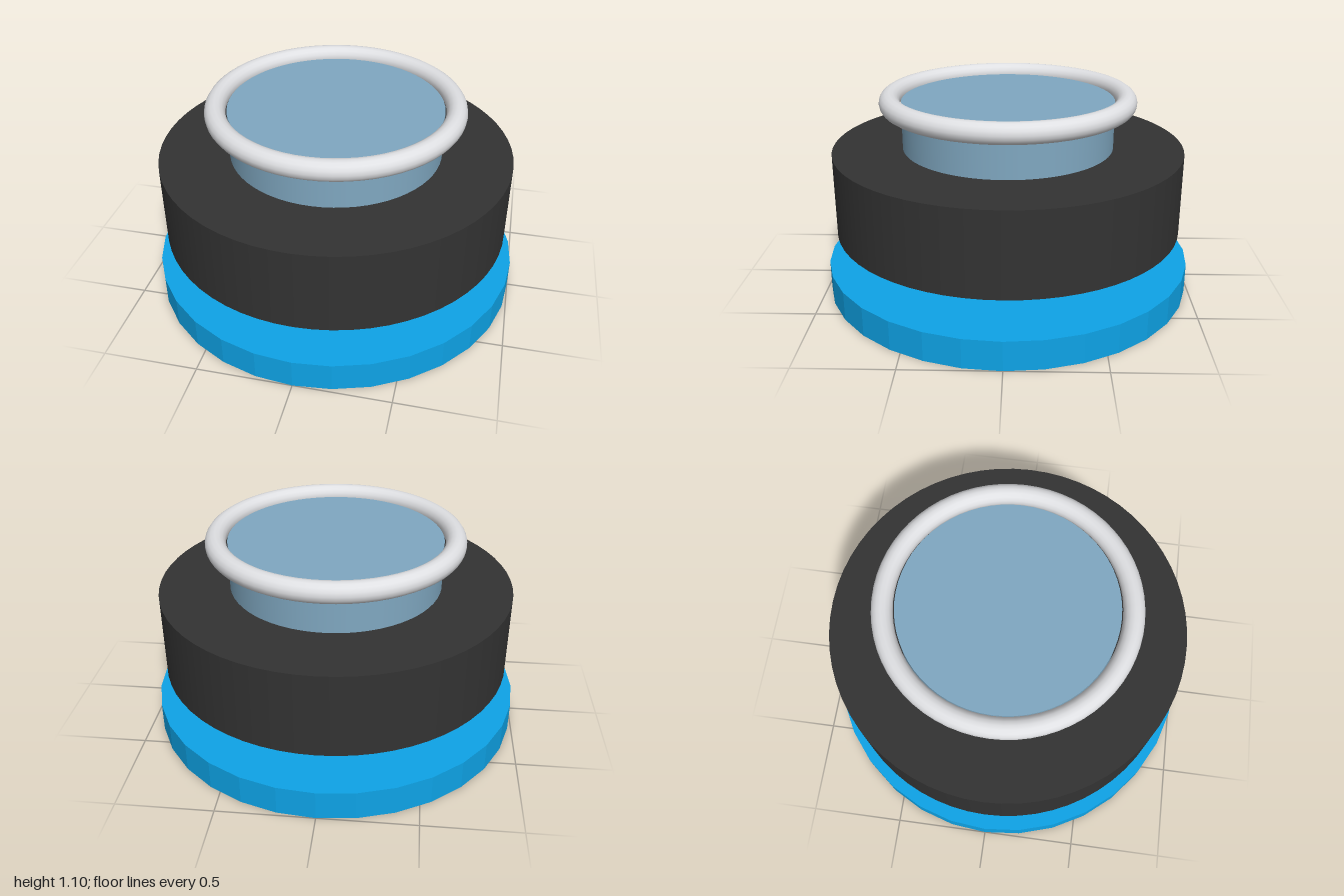
import * as THREE from 'three';

const paint = (name, color) => {
  const m = new THREE.MeshStandardMaterial({ color });
  m.name = name;
  return m;
};

export function createModel() {
  const model = new THREE.Group();
  model.name = 'roundDevice';

  const blue = paint('skyBlue', 0x0ea5e9);
  const charcoal = paint('charcoal', 0x333333);
  const glass = paint('blueGreyGlass', 0x80a8c1);
  const silver = paint('silver', 0xdfe0e3);

  // Upright disc between two heights, with faceted or smooth sides
  const disc = (name, radius, bottom, top, sides, material, faceted) => {
    let geometry = new THREE.CylinderGeometry(radius, radius, top - bottom, sides);
    if (faceted) {
      geometry = geometry.toNonIndexed();
      geometry.computeVertexNormals();
    }
    const mesh = new THREE.Mesh(geometry, material);
    mesh.name = name;
    mesh.position.y = (bottom + top) / 2;
    model.add(mesh);
  };

  // Base plate, floating body and glass cylinder
  disc('basePlate', 1, 0, 0.158, 32, blue, true);
  disc('body', 0.945, 0.342, 0.787, 64, charcoal, false);
  disc('glassCylinder', 0.57, 0.787, 1.04, 64, glass, false);

  // Rounded rim around the top of the glass
  const rim = new THREE.Mesh(new THREE.TorusGeometry(0.63, 0.055, 16, 64), silver);
  rim.name = 'rimRing';
  rim.rotation.x = Math.PI / 2;
  rim.position.y = 1.041;
  model.add(rim);

  return model;
}
